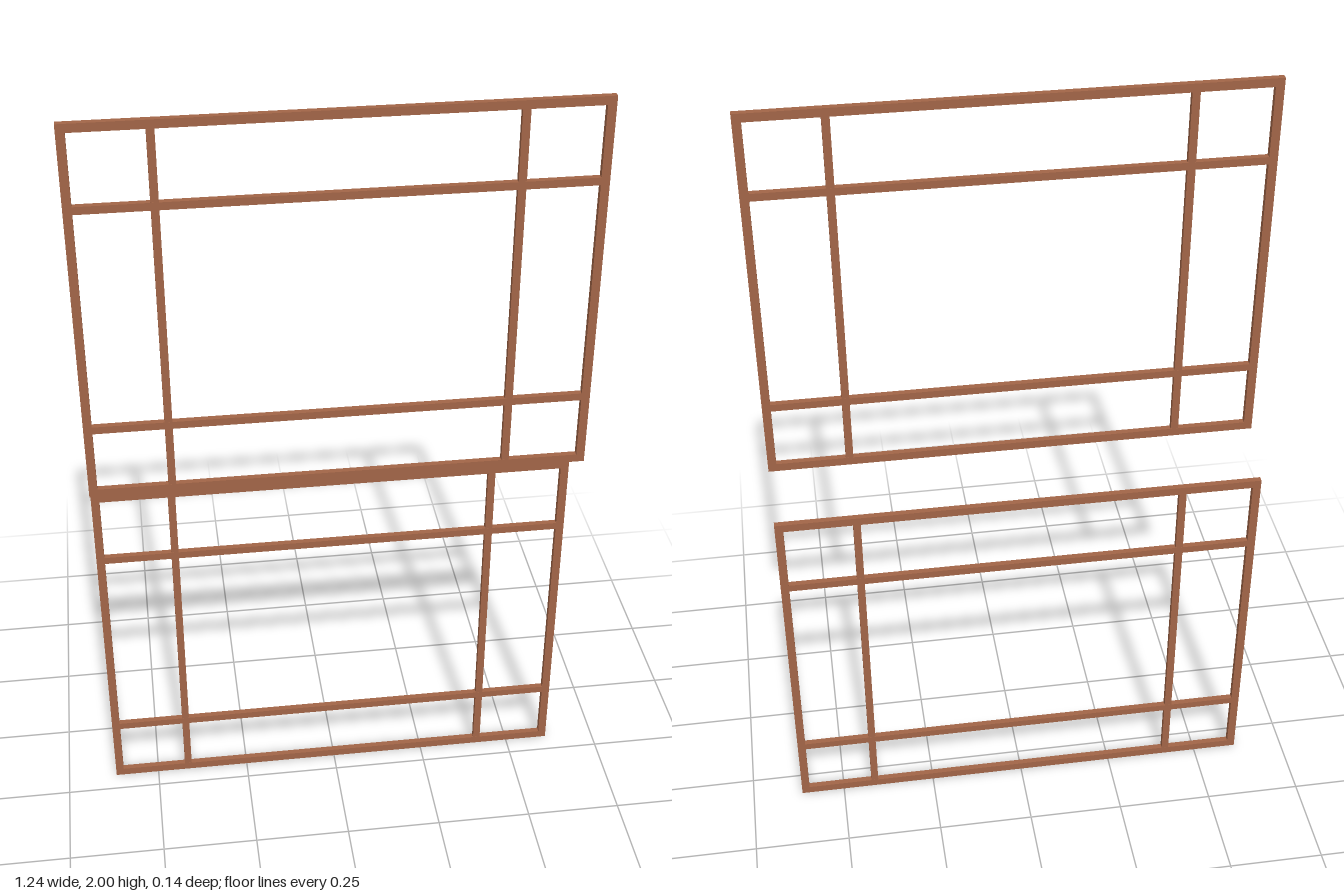
import * as THREE from 'three';

const WIDTH = 1.234, DEPTH = 0.015, BAR = 0.021;
const wood = new THREE.MeshStandardMaterial({ color: 0xa26547 });
wood.name = 'brown wood';

function addBar(parent, name, w, h, d, x, y) {
  const mesh = new THREE.Mesh(new THREE.BoxGeometry(w, h, d), wood);
  mesh.name = name;
  mesh.position.set(x, y, 0);
  parent.add(mesh);
}

// One window sash: outer frame with two upright and two level glazing bars
function createSash(name, height, lowBarY, highBarY) {
  const sash = new THREE.Group();
  sash.name = name;

  const innerHeight = height - 2 * BAR;
  const innerWidth = WIDTH - 2 * BAR;

  // Outer frame
  addBar(sash, 'bottomRail', WIDTH, BAR, DEPTH, 0, BAR / 2);
  addBar(sash, 'topRail', WIDTH, BAR, DEPTH, 0, height - BAR / 2);
  for (const [side, s] of [['left', 1], ['right', -1]]) {
    addBar(sash, side + 'Stile', BAR, innerHeight, DEPTH, s * (WIDTH - BAR) / 2, height / 2);
    // Upright glazing bars near each side
    addBar(sash, side + 'GlazingBar', 0.019, innerHeight, DEPTH - 0.001, s * 0.414, height / 2);
  }

  // Level glazing bars near the bottom and top
  addBar(sash, 'lowerGlazingBar', innerWidth, 0.019, DEPTH, 0, lowBarY);
  addBar(sash, 'upperGlazingBar', innerWidth, 0.019, DEPTH, 0, highBarY);
  return sash;
}

export function createModel() {
  const model = new THREE.Group();
  model.name = 'sashWindow';

  // Lower sash sits behind, upper sash in front
  const lower = createSash('lowerSash', 0.955, 0.18, 0.75);
  lower.position.set(-0.001, 0, -0.06);
  const upper = createSash('upperSash', 0.966, 0.19, 0.762);
  upper.position.set(0.001, 1.034, 0.06);

  model.add(lower, upper);
  return model;
}
